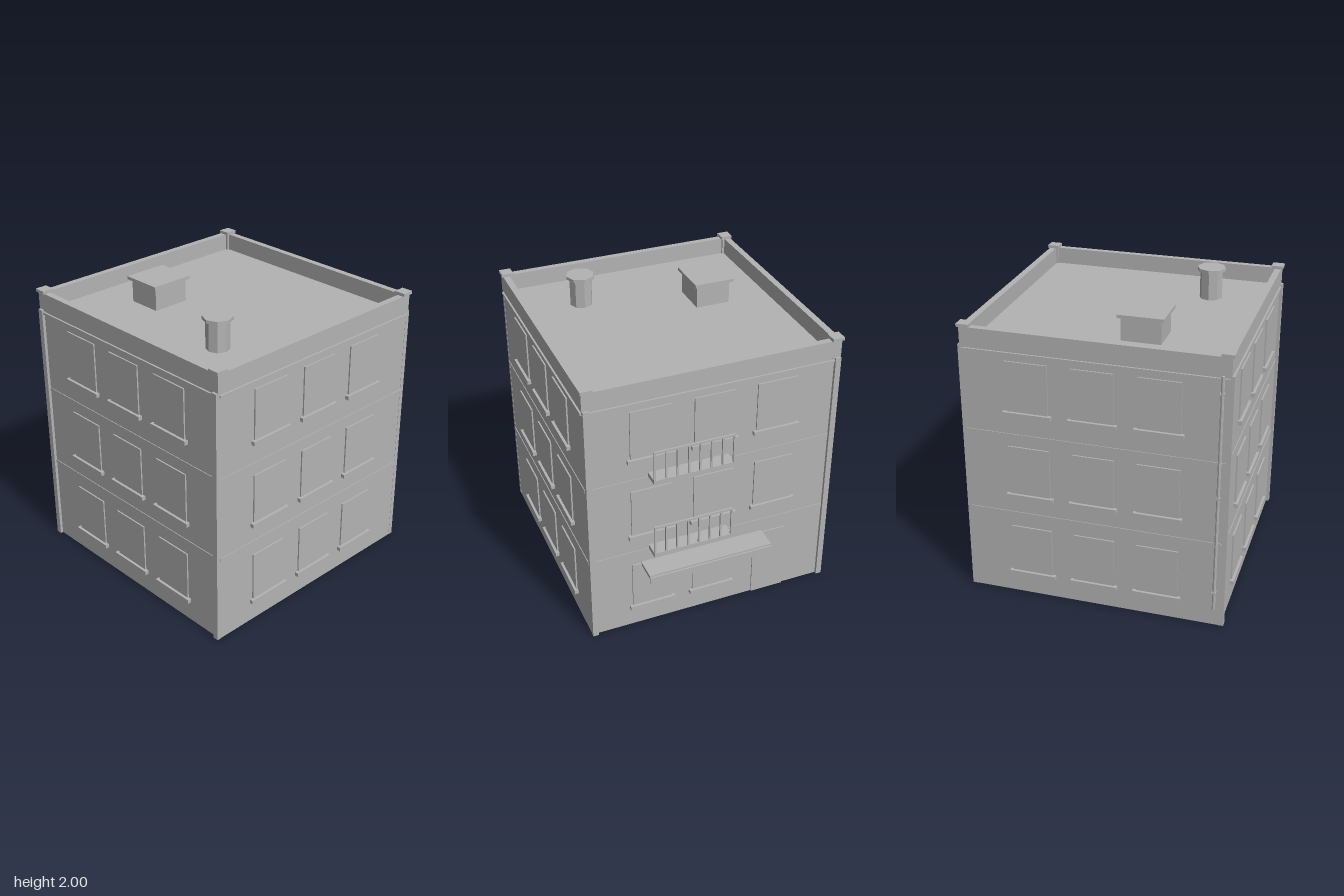
import * as THREE from 'three';

const concrete = new THREE.MeshStandardMaterial({ color: 0xb3b3b3 });
concrete.name = 'concrete grey';

const HALF = 0.862; // half width of the square plan
const CZ = 0.07; // plan centre in z
const FLOOR = 0.595; // storey height
const ROOF = 1.783;

// Box given by its minimum and maximum corners
function box(parent, name, x0, x1, y0, y1, z0, z1) {
  const mesh = new THREE.Mesh(new THREE.BoxGeometry(x1 - x0, y1 - y0, z1 - z0), concrete);
  mesh.position.set((x0 + x1) / 2, (y0 + y1) / 2, (z0 + z1) / 2);
  mesh.name = name;
  parent.add(mesh);
  return mesh;
}

function cylinder(parent, name, radius, y0, y1, x, z, sides) {
  const geometry = new THREE.CylinderGeometry(radius, radius, y1 - y0, sides).toNonIndexed();
  geometry.computeVertexNormals();
  const mesh = new THREE.Mesh(geometry, concrete);
  mesh.position.set(x, (y0 + y1) / 2, z);
  mesh.name = name;
  parent.add(mesh);
}

// One facade facing local +z: windows, sills, string courses, cornice, parapet
function facade(name, isBack, isSide) {
  const g = new THREE.Group();
  g.name = name;
  for (let floor = 0; floor < 3; floor++) {
    const y = floor * FLOOR;
    for (const x of [-0.43, 0, 0.43]) {
      if (isBack && floor === 0 && x > 0) {
        box(g, 'door', x - 0.12, x + 0.12, 0, 0.51, HALF - 0.01, HALF + 0.009);
        continue;
      }
      box(g, 'window', x - 0.139, x + 0.139, y + 0.172, y + 0.515, HALF - 0.01, HALF + 0.01);
      box(g, 'windowSill', x - 0.161, x + 0.161, y + 0.143, y + 0.171, HALF - 0.01, HALF + 0.027);
    }
  }
  const reach = isSide ? 0.855 : 0.825;
  for (const y of [0.601, 1.177]) {
    box(g, 'stringCourse', -reach, reach, y, y + 0.023, HALF - 0.01, HALF + 0.005);
  }
  box(g, 'cornice', -reach, reach, 1.748, 1.764, HALF - 0.01, HALF + 0.012);
  const end = isSide ? HALF - 0.04 : HALF + 0.005;
  box(g, 'parapet', -end, end, ROOF - 0.003, 1.9, HALF - 0.04, HALF + 0.005);
  return g;
}

function balcony(y) {
  const g = new THREE.Group();
  g.name = 'balcony';
  const x0 = -0.1, x1 = 0.45, zOut = -0.896;
  box(g, 'balconySlab', x0, x1, y, y + 0.03, zOut, -0.785);
  box(g, 'handrail', x0, x1, y + 0.228, y + 0.243, zOut, zOut + 0.012);
  const count = 8;
  for (let i = 0; i < count; i++) {
    const x = x0 + ((x1 - x0 - 0.012) * i) / (count - 1);
    box(g, 'baluster', x, x + 0.012, y + 0.03, y + 0.23, zOut, zOut + 0.012);
  }
  return g;
}

export function createModel() {
  const model = new THREE.Group();
  model.name = 'apartmentBlock';

  // Main block with flat roof
  box(model, 'walls', -HALF, HALF, 0, ROOF, CZ - HALF, CZ + HALF);

  ['frontFacade', 'leftFacade', 'backFacade', 'rightFacade'].forEach((name, i) => {
    const g = facade(name, i === 2, i % 2 === 1);
    g.position.z = CZ;
    g.rotation.y = (i * Math.PI) / 2;
    model.add(g);
  });

  // Corner pilasters, parapet piers and their caps
  for (const sx of [-1, 1]) {
    for (const sz of [-1, 1]) {
      const post = (name, inX, outX, inZ, outZ, y0, y1) => {
        const xs = [sx * inX, sx * outX].sort((a, b) => a - b);
        const zs = [CZ + sz * inZ, CZ + sz * outZ].sort((a, b) => a - b);
        box(model, name, xs[0], xs[1], y0, y1, zs[0], zs[1]);
      };
      post('cornerPilaster', 0.824, 0.8635, 0.85, 0.882, 0, 1.779);
      post('parapetPier', 0.806, 0.866, 0.806, 0.866, ROOF - 0.01, 1.902);
      post('parapetCap', 0.796, 0.876, 0.798, 0.88, 1.9, 1.921);
    }
  }

  // Balconies and entrance canopy at the back
  model.add(balcony(0.621), balcony(1.2));
  box(model, 'canopy', -0.37, 0.505, 0.499, 0.523, -0.948, -0.785);
  box(model, 'canopyLip', -0.37, 0.505, 0.456, 0.51, -0.959, -0.946);

  // Roof hatch and chimney
  box(model, 'roofHatch', -0.523, -0.285, ROOF, 1.942, 0.152, 0.415);
  box(model, 'hatchLid', -0.545, -0.265, 1.94, 1.962, 0.131, 0.437);
  cylinder(model, 'chimney', 0.078, ROOF, 1.982, 0.421, 0.518, 8);
  cylinder(model, 'chimneyCap', 0.098, 1.978, 2, 0.421, 0.518, 8);

  // Downpipe with wall brackets
  cylinder(model, 'downpipe', 0.011, 0.13, 1.78, -0.874, 0.885, 8);
  for (const y of [0.25, 0.95, 1.66]) {
    box(model, 'pipeBracket', -0.888, -0.86, y, y + 0.012, 0.871, 0.899);
  }
  return model;
}
